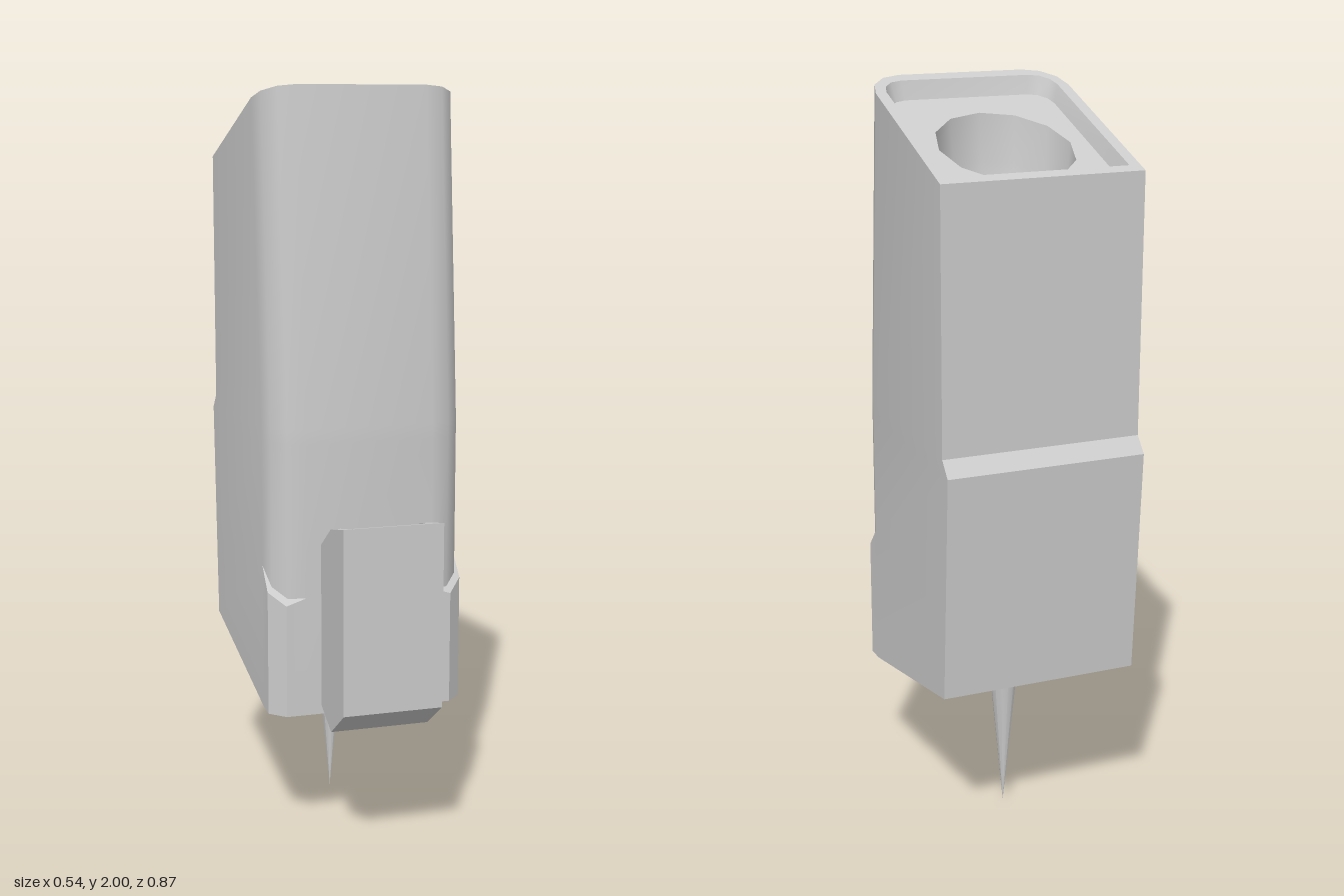
import * as THREE from 'three';
import { mergeVertices, toCreasedNormals } from 'three/addons/utils/BufferGeometryUtils.js';

const material = new THREE.MeshStandardMaterial({ color: 0xcccccc, side: THREE.DoubleSide });
const W = 0.268; // half width of the body

// Heights of the slanted surfaces
const topY = (z) => 2 + (z - 0.157) * 0.343;
const bottomY = (z) => 0.36 + Math.max(0, 0.15 - z) * 0.218;
const ledgeY = (x, z) => 0.65 + (W - Math.abs(x)) * 0.33 + (0.23 - z) * 1.1;

// Outline with square back corners and rounded (or square) front corners
function outline(hw, zBack, zFront, r, yOf, square = false) {
  const half = [[hw, zBack]];
  for (let i = 0; i <= 3; i++) {
    const a = (i * Math.PI) / 6;
    let c = Math.cos(a), s = Math.sin(a);
    if (square) {
      const m = Math.max(c, s);
      c /= m;
      s /= m;
    }
    half.push([hw - r + r * c, zFront - r + r * s]);
  }
  const all = [...half, ...half.slice().reverse().map(([x, z]) => [-x, z])];
  return all.map(([x, z], i) => [x, yOf(x, z, i === 0 || i === all.length - 1), z]);
}

// Skin between consecutive outlines
function loft(rings) {
  const n = rings[0].length, index = [];
  for (let k = 0; k < rings.length - 1; k++) {
    for (let i = 0; i < n; i++) {
      const a = k * n + i, b = k * n + ((i + 1) % n);
      index.push(a, a + n, b, b, a + n, b + n);
    }
  }
  const g = new THREE.BufferGeometry();
  g.setAttribute('position', new THREE.Float32BufferAttribute(rings.flat(2), 3));
  g.setIndex(index);
  return toCreasedNormals(g, 0.6);
}

// Side profile of [z, y] points extruded across x
function sideExtrude(points, width, x = 0) {
  const shape = new THREE.Shape(points.map(([z, y]) => new THREE.Vector2(z, y)));
  const g = new THREE.ExtrudeGeometry(shape, { depth: width, bevelEnabled: false });
  g.translate(0, 0, -width / 2);
  g.rotateY(-Math.PI / 2);
  return g.translate(x, 0, 0);
}

export function createModel() {
  const group = new THREE.Group();
  const add = (name, geometry) => {
    const mesh = new THREE.Mesh(geometry, material);
    mesh.name = name;
    group.add(mesh);
    return mesh;
  };

  // Hollow body, open below, with a corner ledge and a recessed top
  const cut = (x, z, back) => (back ? 0.7 : ledgeY(x, z));
  const depth = 0.045;
  const floorY = (z) => topY(z) - depth;
  const floorRing = outline(0.226, -0.357, 0.112, 0.055, (x, z) => floorY(z));
  add('body', loft([
    outline(W, -0.4, 0.23, 0.095, (x, z) => bottomY(z), true),
    outline(W, -0.413, 0.23, 0.095, cut, true),
    outline(W, -0.413, 0.23, 0.095, cut),
    outline(W, -0.435, 0.23, 0.095, () => 1.09),
    outline(W, -0.398, 0.23, 0.095, () => 1.13),
    outline(W, -0.398, 0.157, 0.095, (x, z) => topY(z)),
    outline(0.238, -0.369, 0.125, 0.06, (x, z) => topY(z)),
    floorRing,
  ]));

  // Recess floor with a round opening
  const cz = -0.152, radius = 0.178;
  const shape = new THREE.Shape(floorRing.map(([x, , z]) => new THREE.Vector2(x, -z)));
  const hole = [];
  for (let i = 0; i < 12; i++) {
    const a = (i * Math.PI) / 6;
    hole.push(new THREE.Vector2(radius * Math.sin(a), -cz - radius * Math.cos(a)));
  }
  shape.holes.push(new THREE.Path(hole));
  const floor = new THREE.ShapeGeometry(shape).rotateX(-Math.PI / 2);
  const fp = floor.attributes.position;
  for (let i = 0; i < fp.count; i++) fp.setY(i, floorY(fp.getZ(i)));
  floor.computeVertexNormals();
  add('recessFloor', floor);

  // Socket sunk into the floor, its rim following the slant
  const profile = [[0, -0.34], [0.08, -0.315], [0.145, -0.24], [0.168, -0.12], [radius, 0]];
  let socket = new THREE.LatheGeometry(profile.map(([r, y]) => new THREE.Vector2(r, y)), 12);
  const sp = socket.attributes.position;
  for (let i = 0; i < sp.count; i++) {
    const z = sp.getZ(i) + cz;
    sp.setXYZ(i, sp.getX(i), sp.getY(i) + floorY(z), z);
  }
  socket.deleteAttribute('uv');
  socket.deleteAttribute('normal');
  socket = mergeVertices(socket);
  socket.computeVertexNormals();
  add('socket', socket);

  // Front block, whose arm runs back inside the body to the needle
  add('needleHolder', sideExtrude([
    [0.435, 0.42], [0.435, 0.8], [0.22, 0.8], [-0.15, 0.64], [-0.15, 0.57], [0.32, 0.34],
  ], 0.266));
  for (const side of [1, -1]) {
    add(side > 0 ? 'holderLeftWall' : 'holderRightWall', sideExtrude([
      [0.435, 0.8], [0.435, 0.91], [0.32, 0.885], [0.225, 0.82], [0.225, 0.8],
    ], 0.026, side * 0.12));
  }
  add('holderFrontWall', sideExtrude([
    [0.435, 0.8], [0.435, 0.91], [0.41, 0.905], [0.41, 0.8],
  ], 0.214));

  // Eight-sided peg in the holder recess
  const peg = new THREE.CylinderGeometry(0.075, 0.075, 0.07, 8);
  add('holderPeg', toCreasedNormals(peg, 0.5)).position.set(0, 0.815, 0.318);

  // Needle, point down
  const needle = new THREE.ConeGeometry(0.057, 0.6, 12).rotateX(Math.PI);
  add('needle', needle).position.set(0, 0.3, -0.15);

  return group;
}
